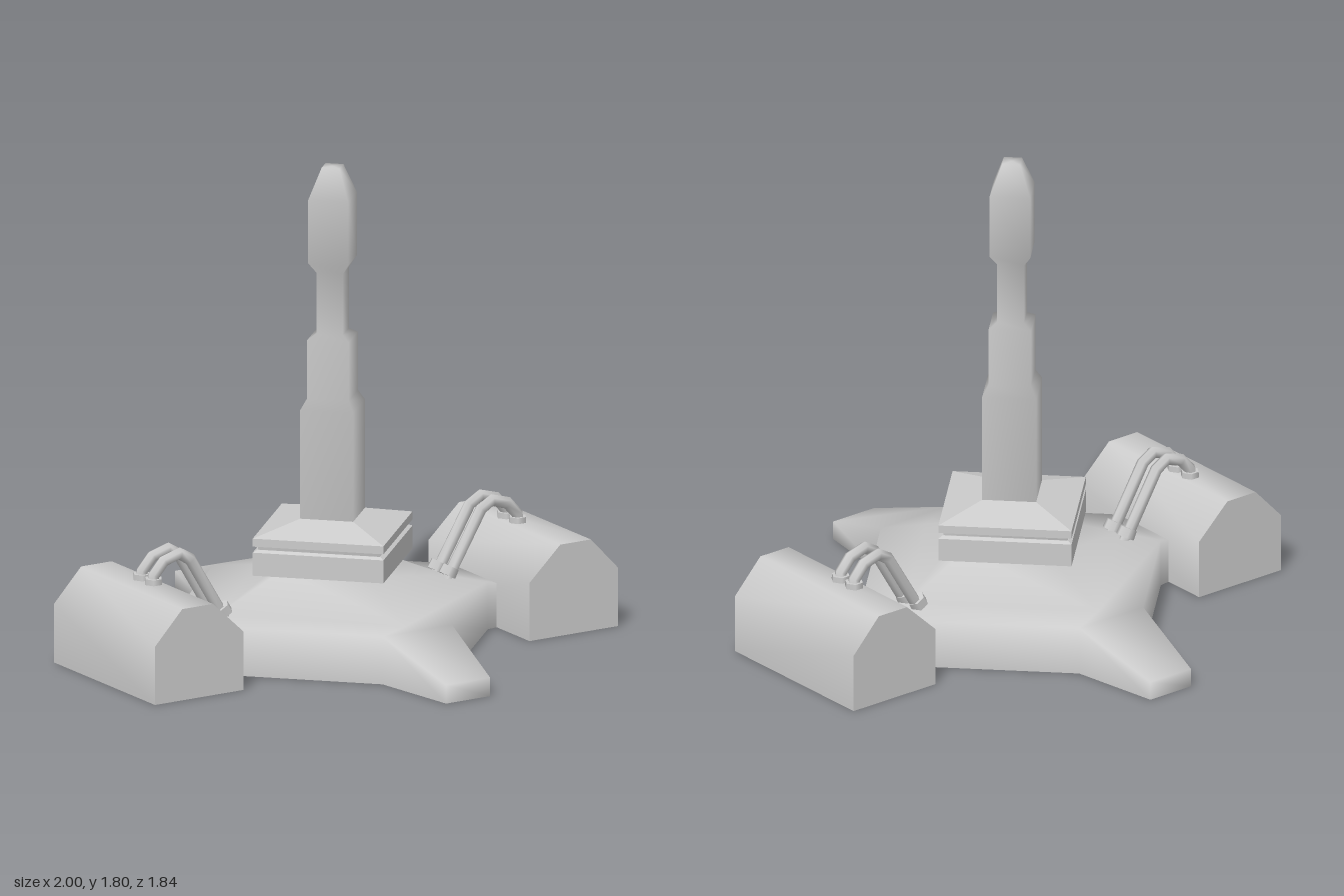
import * as THREE from 'three';
import { mergeVertices } from 'three/addons/utils/BufferGeometryUtils.js';

const material = new THREE.MeshStandardMaterial({ color: 0xcccccc, side: THREE.DoubleSide });

function addMesh(parent, name, geometry) {
  const mesh = new THREE.Mesh(geometry, material);
  mesh.name = name;
  parent.add(mesh);
  return mesh;
}

// Skin over a list of rings, each a list of [x, y, z] points
function loft(rings, closed) {
  const n = rings[0].length;
  const index = [];
  for (let i = 0; i < rings.length - 1; i++) {
    for (let j = 0; j < (closed ? n : n - 1); j++) {
      const k = (j + 1) % n;
      const a = i * n + j, b = i * n + k;
      index.push(a, b, a + n, b, b + n, a + n);
    }
  }
  const geometry = new THREE.BufferGeometry();
  geometry.setAttribute('position', new THREE.Float32BufferAttribute(rings.flat(2), 3));
  geometry.setIndex(index);
  const merged = mergeVertices(geometry);
  merged.computeVertexNormals();
  return merged;
}

// Four-sided turned part with its corners on the x and z axes
function diamond(profile) {
  return new THREE.LatheGeometry(profile.map(([r, y]) => new THREE.Vector2(r, y)), 4);
}

// Repeats a quarter of a ring of [x, y, z] points around the y axis
function fourfold(quarter) {
  const ring = [];
  for (let q = 0; q < 4; q++) {
    for (const [x, y, z] of quarter) {
      ring.push([[x, y, z], [z, y, -x], [-x, y, -z], [-z, y, x]][q]);
    }
  }
  return ring;
}

// Hexagonal pipe along a bent path in the xy plane
function pipeGeometry(path, radius) {
  const pts = path.map(([x, y]) => new THREE.Vector2(x, y));
  const rings = pts.map((p, i) => {
    const before = pts[Math.max(i - 1, 0)], after = pts[Math.min(i + 1, pts.length - 1)];
    const t = p.clone().sub(before).normalize().add(after.clone().sub(p).normalize()).normalize();
    return Array.from({ length: 6 }, (_, j) => {
      const a = (j * Math.PI) / 3, c = Math.cos(a) * radius;
      return [p.x - t.y * c, p.y + t.x * c, Math.sin(a) * radius];
    });
  });
  return loft(rings, true);
}

function createBase() {
  // Quarter outline: arm tip, inner corner, inner corner, next arm tip
  const outline = [[0.095, 0.92], [0.15, 0.575], [0.575, 0.15], [0.92, 0.095]];
  const tops = [0.07, 0.18, 0.18, 0.07];
  const [, e1, e2] = outline;
  const corners = (r, y) => fourfold([[0, y, r], [0, y, r], [r, y, 0], [r, y, 0]]);
  return loft([
    fourfold(outline.map(([x, z]) => [x, 0, z])),
    fourfold(outline.map(([x, z], i) => [x, tops[i], z])),
    fourfold([e1, e1, e2, e2].map(([x, z]) => [x, 0.18, z])),
    corners(0.5, 0.18),
    corners(0.22, 0.305),
  ], true);
}

function createSide(name) {
  const side = new THREE.Group();
  side.name = name;

  // Hollow pod with a chamfered roof, open underneath
  const profile = [[0.617, 0], [0.617, 0.22], [0.75, 0.345], [0.882, 0.345], [1, 0.22], [1, 0]];
  const front = 0.367, back = -0.32;
  addMesh(side, 'podShell', loft([front, back].map((z) => profile.map(([x, y]) => [x, y, z])), false));
  const cap = new THREE.ShapeGeometry(new THREE.Shape(profile.map(([x, y]) => new THREE.Vector2(x, y))));
  addMesh(side, 'podFront', cap).position.z = front;
  const rear = addMesh(side, 'podBack', cap);
  rear.position.z = back;
  rear.scale.z = -1;

  // Pair of pipes with collars at both ends
  const path = [[0.48, 0.17], [0.628, 0.415], [0.675, 0.443], [0.742, 0.423], [0.785, 0.375], [0.787, 0.34]];
  const pipe = pipeGeometry(path, 0.023);
  const collar = new THREE.CylinderGeometry(0.034, 0.036, 0.035, 6, 1, false, Math.PI / 2);
  for (const z of [-0.058, 0.02]) {
    addMesh(side, 'pipe', pipe).position.z = z;
    const lower = addMesh(side, 'lowerCollar', collar);
    lower.position.set(0.49, 0.203, z);
    lower.rotation.z = -0.52;
    addMesh(side, 'upperCollar', collar).position.set(0.786, 0.349, z);
  }
  return side;
}

export function createModel() {
  const model = new THREE.Group();
  model.name = 'turret';

  addMesh(model, 'base', createBase());

  // Turntable: lower slab, recessed neck and sloping cover
  addMesh(model, 'lowerSlab', diamond([[0, 0.305], [0.345, 0.305], [0.345, 0.392], [0.325, 0.4], [0, 0.4]]).toNonIndexed())
    .geometry.computeVertexNormals();
  addMesh(model, 'neck', diamond([[0.322, 0.395], [0.322, 0.418]]));
  addMesh(model, 'cover', diamond([[0, 0.415], [0.345, 0.415], [0.345, 0.445], [0.14, 0.49]]).toNonIndexed())
    .geometry.computeVertexNormals();

  // Stepped column and bulbous head
  addMesh(model, 'column', diamond([
    [0.14, 0.485], [0.14, 0.9], [0.11, 0.94], [0.11, 1.16], [0.07, 1.18], [0.07, 1.41],
    [0.105, 1.45], [0.105, 1.69], [0.047, 1.803], [0, 1.803],
  ]));

  // Matching pods on both sides
  model.add(createSide('leftPod'));
  const right = createSide('rightPod');
  right.scale.x = -1;
  model.add(right);
  return model;
}
